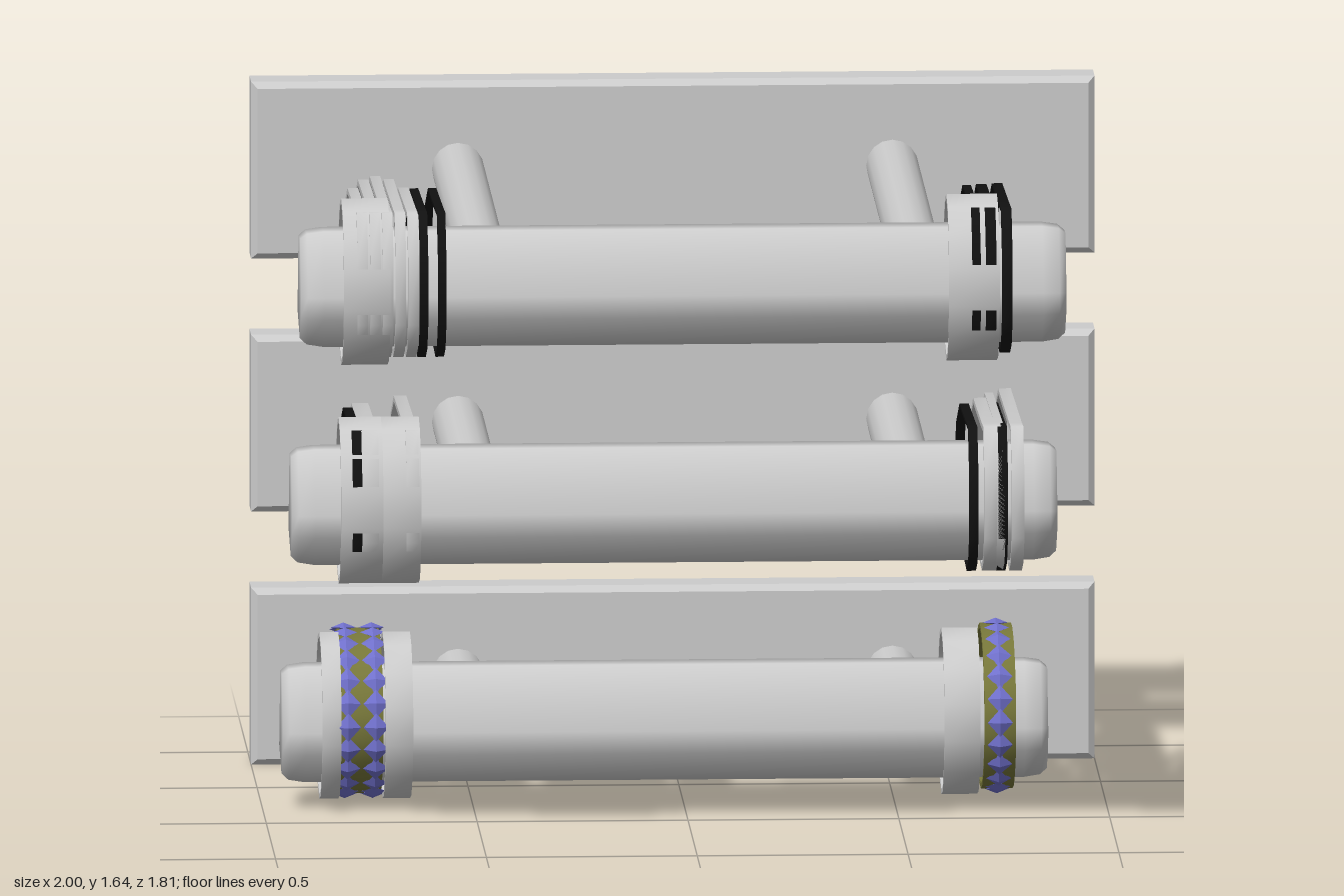
import * as THREE from 'three';
import { toCreasedNormals } from 'three/addons/utils/BufferGeometryUtils.js';

const material = (color) => new THREE.MeshStandardMaterial({ color, side: THREE.DoubleSide });
const grey = material(0xcccccc);
const black = material(0x111111);
const olive = material(0x77773a);
const violet = material(0x7070cc);

function add(parent, name, geometry, mat, x = 0, y = 0, z = 0) {
  const mesh = new THREE.Mesh(geometry, mat);
  mesh.name = name;
  mesh.position.set(x, y, z);
  parent.add(mesh);
  return mesh;
}

const toShape = (points) => new THREE.Shape(points.map(([z, y]) => new THREE.Vector2(z, y)));

// Extrudes a (z, y) outline along x, centred on x = 0
function extrudeX(shape, width, options = {}) {
  const g = new THREE.ExtrudeGeometry(shape, { depth: width, bevelEnabled: false, ...options });
  g.translate(0, 0, -width / 2);
  g.rotateY(-Math.PI / 2);
  return toCreasedNormals(g, 1.25);
}

// Board: shell open at the back, with a small bevel round the front
function boardGeometry() {
  const g = new THREE.BoxGeometry(2, 0.425, 0.1, 1, 1, 2);
  const p = g.attributes.position;
  for (let i = 0; i < p.count; i++) {
    const z = p.getZ(i);
    if (Math.abs(z) < 0.01) p.setZ(i, 0.035);
    if (z > 0.04) p.setXY(i, p.getX(i) * 0.985, p.getY(i) * 0.93);
  }
  g.setIndex(Array.from(g.index.array).slice(0, -6));
  const flat = g.toNonIndexed();
  flat.computeVertexNormals();
  return flat;
}

// Closed ribbon of a given thickness from a (z, y) outline
function ribbon(points, width, thickness) {
  const zs = points.map((p) => p[0]);
  const ys = points.map((p) => p[1]);
  const mid = (a) => (Math.max(...a) + Math.min(...a)) / 2;
  const span = (a) => Math.max(...a) - Math.min(...a);
  const [cz, cy] = [mid(zs), mid(ys)];
  const [kz, ky] = [1 - (2 * thickness) / span(zs), 1 - (2 * thickness) / span(ys)];
  const shape = toShape(points);
  shape.holes.push(toShape(points.map(([z, y]) => [cz + (z - cz) * kz, cy + (y - cy) * ky])));
  return extrudeX(shape, width);
}

// Oval outline between two z offsets
function oval(z0, z1, ry, sides = 14) {
  return Array.from({ length: sides }, (_, i) => {
    const a = ((i + 0.5) / sides) * Math.PI * 2;
    return [(z0 + z1) / 2 + (Math.cos(a) * (z1 - z0)) / 2, Math.sin(a) * ry];
  });
}

// Hanging loop that wraps the bar and droops back to z offset b
const hanging = (b) => [
  [0.14, -0.08], [0.14, 0.08], [0.08, 0.18], [0, 0.175],
  [b + 0.25, 0.155], [b + 0.08, 0.085], [b, 0], [b + 0.05, -0.065],
  [b + 0.17, -0.14], [b + 0.3, -0.165], [0, -0.18], [0.09, -0.145],
];

const barOutline = [
  [0.123, -0.01], [0.06, 0.14], [-0.055, 0.132],
  [-0.115, -0.083], [0.031, -0.142], [0.118, -0.064],
];

// Per tier: bar z, bands [x, width, back], strands [x, width, back, material]
const tiers = [
  { z: -0.235, bands: [[-0.84, 0.045, -0.22], [-0.68, 0.065, -0.22], [0.655, 0.085, -0.22]], strands: [] },
  {
    z: 0.265,
    bands: [[-0.79, 0.1, -0.16], [-0.695, 0.09, -0.16]],
    strands: [
      [-0.77, 0.04, -0.71, grey], [-0.8, 0.025, -0.65, black], [-0.67, 0.03, -0.81, grey],
      [0.66, 0.022, -0.64, black], [0.7, 0.03, -0.72, grey], [0.73, 0.022, -0.65, black],
      [0.725, 0.02, -0.79, grey], [0.765, 0.03, -0.85, grey],
    ],
  },
  {
    z: 0.755,
    bands: [[-0.8, 0.11, -0.175], [0.64, 0.12, -0.175]],
    strands: [
      [-0.81, 0.025, -0.67, grey], [-0.78, 0.025, -0.79, grey], [-0.75, 0.025, -0.835, grey],
      [-0.72, 0.025, -0.79, grey], [-0.69, 0.025, -0.67, grey],
      [-0.665, 0.02, -0.66, black], [-0.622, 0.02, -0.66, black],
      [0.645, 0.02, -0.65, black], [0.68, 0.025, -0.66, black], [0.718, 0.025, -0.67, black],
    ],
  },
];

// Bracelet ring covered with columns of diamond studs
function studdedBracelet(x, width, columns) {
  const group = new THREE.Group();
  group.name = 'studdedBracelet';
  group.position.set(x, 0.212, -0.34);
  add(group, 'braceletRing', ribbon(oval(-0.245, 0.245, 0.195, 20), width, 0.012), olive);
  const stud = new THREE.OctahedronGeometry(1);
  stud.scale(0.03, 0.034, 0.012);
  for (const column of columns) {
    for (let i = 0; i < 22; i++) {
      const a = (i / 22) * Math.PI * 2;
      const mesh = add(group, 'stud', stud, violet, column, Math.sin(a) * 0.195, Math.cos(a) * 0.245);
      mesh.rotation.x = -a;
    }
  }
  return group;
}

export function createModel() {
  const model = new THREE.Group();
  model.name = 'braceletStand';
  const board = boardGeometry();
  const bar = extrudeX(toShape(barOutline), 1.705, {
    bevelEnabled: true, bevelThickness: 0.055, bevelSize: 0.018, bevelOffset: -0.018, bevelSegments: 2,
  });

  tiers.forEach(({ z, bands, strands }, i) => {
    const tier = new THREE.Group();
    tier.name = 'tier' + (i + 1);
    tier.position.y = i * 0.608;
    model.add(tier);

    // Board, two support rods and the display bar
    add(tier, 'backBoard', board, grey, 0, 0.2125, -0.86);
    const length = z - 0.08 + 0.81;
    const rod = new THREE.CylinderGeometry(0.062, 0.062, length, 16);
    rod.rotateX(Math.PI / 2);
    for (const x of [-0.51, 0.52]) add(tier, 'supportRod', rod, grey, x, 0.215, -0.81 + length / 2);
    add(tier, 'displayBar', bar, grey, -0.0475, 0.205, z);

    // Wide cuffs and thin hanging strands
    for (const [x, width, back] of bands) {
      add(tier, 'cuff', ribbon(oval(back, 0.148, 0.2), width, 0.012), grey, x, 0.212, z);
    }
    for (const [x, width, back, mat] of strands) {
      add(tier, 'strand', ribbon(hanging(back), width, mat === black ? 0.008 : 0.015), mat, x, 0.212, z);
    }
    if (i === 0) {
      tier.add(studdedBracelet(-0.768, 0.1, [-0.033, 0.033]));
      tier.add(studdedBracelet(0.745, 0.075, [0]));
    }
  });
  return model;
}
